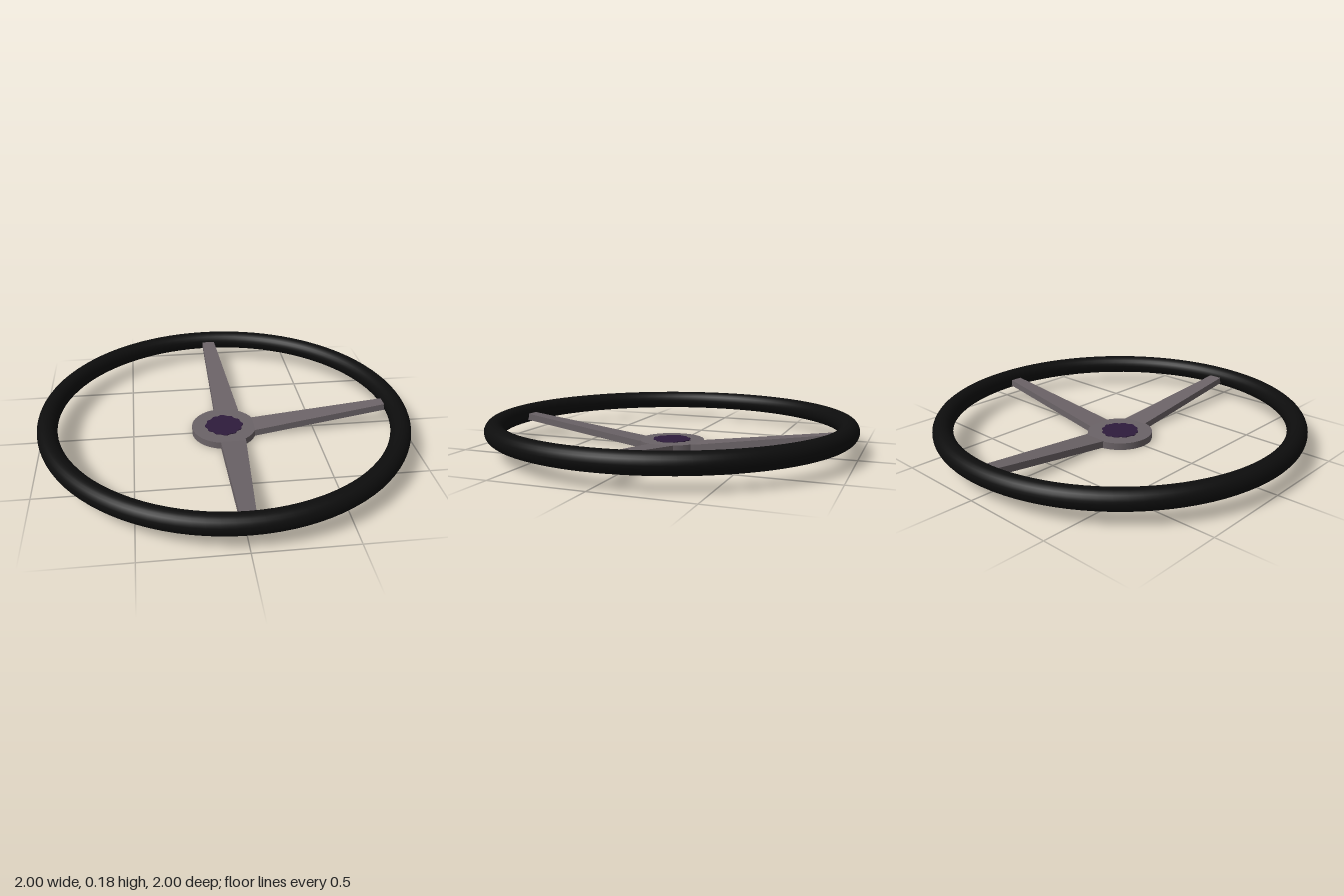
import * as THREE from 'three';

const RIM_Y = 0.125;
const HUB_H = 0.038;

// Spoke along +x: flat at the hub, then rising to the rim.
// root and tip give the [low, high] z edges at each end.
function spokeGeometry(root, tip) {
  const stations = [
    { r: 0.13, y: 0.001, edge: root },
    { r: 0.165, y: 0.001, edge: root },
    { r: 0.93, y: 0.1, edge: tip },
  ];
  const geo = new THREE.BoxGeometry(2, 1, 1, 2, 1, 1);
  const pos = geo.attributes.position;
  for (let i = 0; i < pos.count; i++) {
    const s = stations[Math.round(pos.getX(i)) + 1];
    const y = s.y + (pos.getY(i) > 0 ? HUB_H - 0.001 : 0);
    pos.setXYZ(i, s.r, y, s.edge[pos.getZ(i) > 0 ? 1 : 0]);
  }
  geo.computeVertexNormals();
  return geo;
}

export function createModel() {
  const group = new THREE.Group();
  const black = new THREE.MeshStandardMaterial({ color: 0x0d0d0d });
  const metal = new THREE.MeshStandardMaterial({ color: 0x6b6367 });
  const metalFlat = metal.clone();
  metalFlat.flatShading = true;
  const purple = new THREE.MeshStandardMaterial({ color: 0x2e1c3c });

  const add = (name, geo, mat) => {
    const mesh = new THREE.Mesh(geo, mat);
    mesh.name = name;
    group.add(mesh);
    return mesh;
  };

  // Rim
  const rim = add('rim', new THREE.TorusGeometry(0.947, 0.053, 24, 96), black);
  rim.rotation.x = Math.PI / 2;
  rim.position.y = RIM_Y;

  // Hub disc
  const hub = add('hub', new THREE.CylinderGeometry(0.177, 0.177, HUB_H, 48), metal);
  hub.position.y = HUB_H / 2;

  // Spokes: a symmetric one to the left, two with one straight edge front and back
  add('leftSpoke', spokeGeometry([-0.068, 0.068], [-0.032, 0.032]), metalFlat);
  const front = add('frontSpoke', spokeGeometry([-0.1, 0.036], [-0.036, 0.036]), metalFlat);
  front.rotation.y = -Math.PI / 2;
  const back = add('backSpoke', spokeGeometry([-0.036, 0.1], [-0.036, 0.036]), metalFlat);
  back.rotation.y = Math.PI / 2;

  // Lobed centre cap, just proud of the hub
  const outline = [];
  for (let i = 0; i < 96; i++) {
    const a = (i / 96) * Math.PI * 2;
    const r = 0.1 + 0.003 * Math.cos(4 * a) + 0.004 * Math.cos(12 * a);
    outline.push(new THREE.Vector2(r * Math.cos(a), r * Math.sin(a)));
  }
  const cap = add('centreCap', new THREE.ExtrudeGeometry(new THREE.Shape(outline), {
    depth: 0.012, bevelEnabled: false,
  }), purple);
  cap.rotation.x = -Math.PI / 2;
  cap.position.y = 0.03;

  return group;
}
